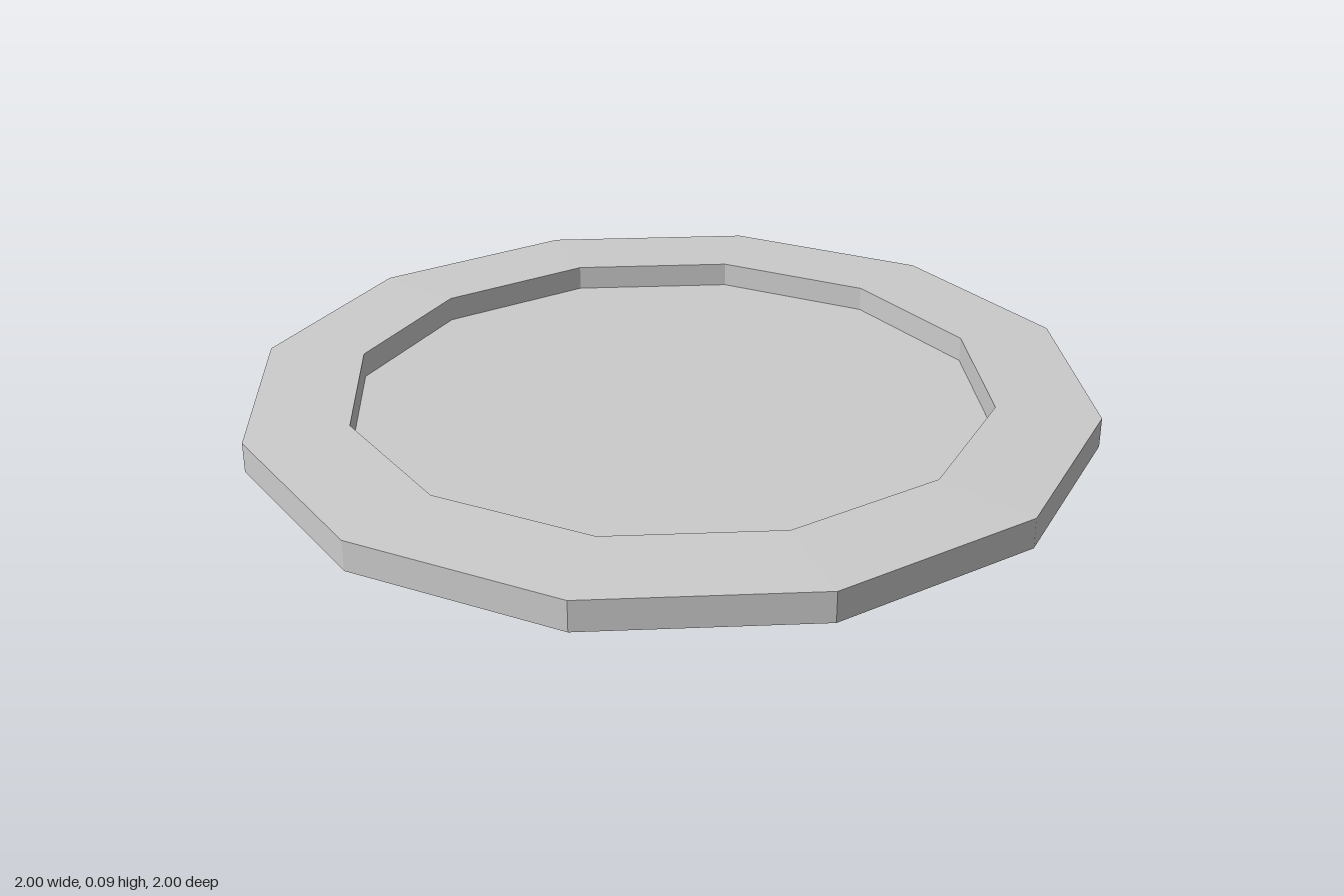
import * as THREE from 'three';

const SIDES = 12;

export function createModel() {
  const group = new THREE.Group();
  const material = new THREE.MeshStandardMaterial({ color: 0xcccccc, flatShading: true });

  // Revolve a [radius, height] profile into a twelve-sided part
  const addRing = (name, profile) => {
    const points = profile.map(([r, y]) => new THREE.Vector2(r, y));
    const mesh = new THREE.Mesh(new THREE.LatheGeometry(points, SIDES), material);
    mesh.name = name;
    group.add(mesh);
  };

  // Very slightly domed underside, upright edge and broad rim
  addRing('plateBody', [[0, 0], [1, 0.009], [1, 0.08], [0.76, 0.086]]);

  // Upright wall of the recess and its flat floor
  addRing('recess', [[0.76, 0.086], [0.76, 0.026], [0, 0.026]]);

  return group;
}
